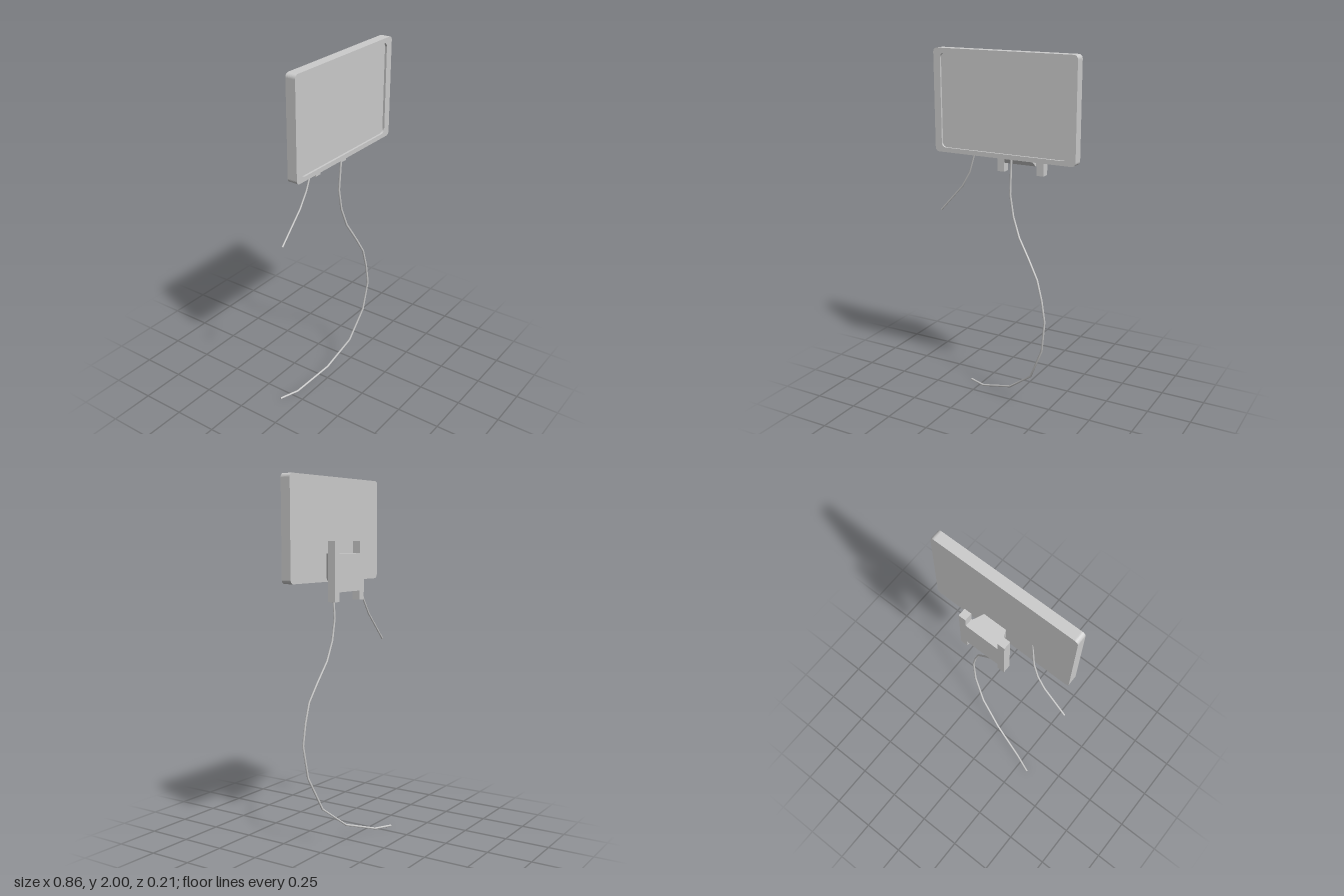
import * as THREE from 'three';

const grey = new THREE.MeshStandardMaterial({ color: 0xcccccc, flatShading: true });
const smoothGrey = new THREE.MeshStandardMaterial({ color: 0xcccccc });

function addMesh(parent, name, geometry, material = grey) {
  const mesh = new THREE.Mesh(geometry, material);
  mesh.name = name;
  parent.add(mesh);
  return mesh;
}

// Rounded rectangle outline, used as a Shape or as a hole Path
function roundedRect(path, x0, x1, y0, y1, r) {
  path.moveTo(x0 + r, y0);
  path.lineTo(x1 - r, y0);
  path.absarc(x1 - r, y0 + r, r, -Math.PI / 2, 0);
  path.lineTo(x1, y1 - r);
  path.absarc(x1 - r, y1 - r, r, 0, Math.PI / 2);
  path.lineTo(x0 + r, y1);
  path.absarc(x0 + r, y1 - r, r, Math.PI / 2, Math.PI);
  path.lineTo(x0, y0 + r);
  path.absarc(x0 + r, y0 + r, r, Math.PI, Math.PI * 1.5);
  return path;
}

function slab(shape, z0, z1) {
  const geometry = new THREE.ExtrudeGeometry(shape, { depth: z1 - z0, bevelEnabled: false, curveSegments: 4 });
  return geometry.translate(0, 0, z0);
}

// Cable with a ring of sides exactly at each listed point, closed at both ends
function makeCable(name, points, radius) {
  const group = new THREE.Group();
  group.name = name;
  const curve = new THREE.CatmullRomCurve3(points.map((p) => new THREE.Vector3(...p)));
  curve.getPointAt = (t, target) => curve.getPoint(t, target);
  curve.getTangentAt = (t, target) => curve.getTangent(t, target);
  addMesh(group, name + 'Sleeve', new THREE.TubeGeometry(curve, points.length - 1, radius, 8), smoothGrey);
  for (const t of [0, 1]) {
    const cap = addMesh(group, name + 'End', new THREE.CircleGeometry(radius, 8));
    cap.position.copy(curve.getPoint(t));
    const outward = curve.getTangent(t).multiplyScalar(t ? 1 : -1);
    cap.quaternion.setFromUnitVectors(new THREE.Vector3(0, 0, 1), outward);
  }
  return group;
}

export function createModel() {
  const model = new THREE.Group();
  model.name = 'wallScreen';

  // Screen: rear casing, and a raised frame around the recessed panel
  const screen = new THREE.Group();
  screen.name = 'screen';
  model.add(screen);
  const outline = () => roundedRect(new THREE.Shape(), -0.4, 0.428, 1.45, 2, 0.022);
  addMesh(screen, 'casing', slab(outline(), 0.05, 0.094));
  const frame = outline();
  frame.holes.push(roundedRect(new THREE.Path(), -0.36, 0.382, 1.475, 1.975, 0.025));
  addMesh(screen, 'frame', slab(frame, 0.094, 0.106));

  // Wall bracket: two upright posts joined by a plate
  const bracket = new THREE.Group();
  bracket.name = 'bracket';
  model.add(bracket);
  const midX = 0.053;
  for (const side of [-1, 1]) {
    const post = addMesh(bracket, side < 0 ? 'rightPost' : 'leftPost', new THREE.BoxGeometry(0.041, 0.315, 0.045));
    post.position.set(midX + side * 0.118, 1.5075, -0.0365);
  }
  const plate = addMesh(bracket, 'plate', new THREE.BoxGeometry(0.196, 0.2, 0.045));
  plate.position.set(midX, 1.5, -0.0365);

  // Mounting block: narrows towards the screen, underside slopes up
  const block = new THREE.BoxGeometry(0.186, 0.2, 0.059);
  const pos = block.attributes.position;
  for (let i = 0; i < pos.count; i++) {
    if (pos.getZ(i) > 0) {
      pos.setX(i, pos.getX(i) * 0.72);
      if (pos.getY(i) < 0) pos.setY(i, -0.03);
    }
  }
  block.computeVertexNormals();
  addMesh(bracket, 'mountingBlock', block).position.set(midX, 1.5, 0.0155);

  // Long cable hanging down to the ground
  model.add(makeCable('longCable', [
    [0.05, 1.58, 0.052], [0.04, 1.44, 0.06], [0.03, 1.25, 0.054], [0.05, 1.13, 0.056], [0.09, 1.02, 0.064],
    [0.158, 0.91, 0.08], [0.215, 0.81, 0.094], [0.245, 0.7, 0.098], [0.265, 0.58, 0.1],
    [0.243, 0.4, 0.085], [0.158, 0.21, 0.05], [0, 0.085, 0.001], [-0.215, 0.012, -0.06], [-0.322, 0.007, -0.103],
  ], 0.006));

  // Short cable from the back of the screen
  model.add(makeCable('shortCable', [
    [-0.17, 1.63, 0.053], [-0.183, 1.53, 0.046], [-0.197, 1.44, 0.04],
    [-0.23, 1.34, 0.034], [-0.28, 1.255, 0.03], [-0.426, 1.097, 0.026],
  ], 0.005));

  return model;
}
